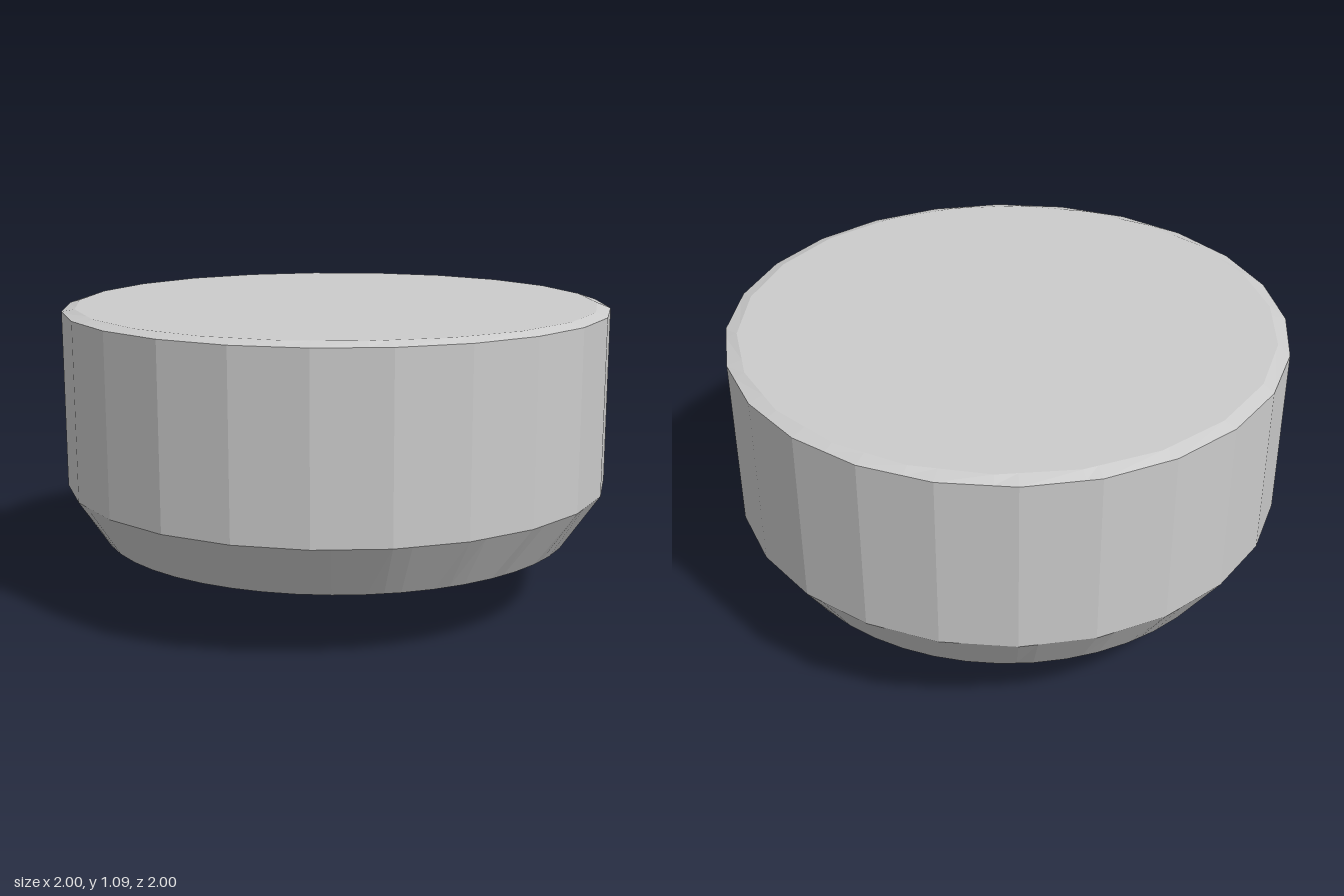
import * as THREE from 'three';
import { toCreasedNormals } from 'three/addons/utils/BufferGeometryUtils.js';

const TAU = Math.PI * 2;

// A horizontal polygon ring: circumradius, height, side count, starting angle
const ring = (r, y, sides, start) => ({ r, y, sides, start });

const capRing = ring(0.955, 1.09, 22, Math.PI / 22);
const rimRing = ring(1, 1.075, 24, -TAU / 96);
const shoulderRing = ring(1, 0.435, 24, -TAU / 96);
const bevelRing = ring(0.872, 0.245, 48, 0);
const tipRing = ring(0.148, 0, 48, 0);

// Point on the edge of a ring's polygon in the direction of angle a
function pointOn({ r, y, sides, start }, a) {
  const step = TAU / sides;
  const local = (((a - start) % step) + step) % step;
  const d = (r * Math.cos(step / 2)) / Math.cos(local - step / 2);
  return [d * Math.sin(a), y, d * Math.cos(a)];
}

// Every corner angle of the given rings, sorted and without repeats
function cornerAngles(...rings) {
  const all = rings.flatMap(({ sides, start }) =>
    Array.from({ length: sides }, (_, i) => (start + (i * TAU) / sides + TAU) % TAU));
  all.sort((a, b) => a - b);
  return all.filter((a, i) => i === 0 || a - all[i - 1] > 1e-5);
}

function fromTriangles(positions) {
  const g = new THREE.BufferGeometry();
  g.setAttribute('position', new THREE.Float32BufferAttribute(positions, 3));
  g.computeVertexNormals();
  return g;
}

// Band of faces joining a lower ring to an upper ring
function band(lower, upper) {
  const angles = cornerAngles(lower, upper);
  const out = [];
  angles.forEach((a, i) => {
    const b = angles[(i + 1) % angles.length];
    const la = pointOn(lower, a), lb = pointOn(lower, b);
    const ua = pointOn(upper, a), ub = pointOn(upper, b);
    out.push(...la, ...lb, ...ub, ...la, ...ub, ...ua);
  });
  return fromTriangles(out);
}

// Flat disc filling a ring, facing up or down
function disc(r, up) {
  const angles = cornerAngles(r);
  const out = [];
  angles.forEach((a, i) => {
    const pa = pointOn(r, a), pb = pointOn(r, angles[(i + 1) % angles.length]);
    out.push(0, r.y, 0, ...(up ? pa : pb), ...(up ? pb : pa));
  });
  return fromTriangles(out);
}

export function createModel() {
  const group = new THREE.Group();
  group.name = 'taperedDrum';
  const flat = new THREE.MeshStandardMaterial({ color: 0xcccccc, flatShading: true });
  const smooth = new THREE.MeshStandardMaterial({ color: 0xcccccc });
  const add = (name, geometry, material) => {
    const mesh = new THREE.Mesh(geometry, material);
    mesh.name = name;
    group.add(mesh);
  };

  // Faceted drum with a flat lid and a thin chamfer
  add('lid', disc(capRing, true), flat);
  add('rimChamfer', band(rimRing, capRing), flat);
  add('drumWall', band(shoulderRing, rimRing), flat);

  // Tapered underside ending in a small flat tip
  add('lowerBevel', band(bevelRing, shoulderRing), flat);
  add('undersideCone', toCreasedNormals(band(tipRing, bevelRing), 0.5), smooth);
  add('tip', disc(tipRing, false), flat);
  return group;
}
